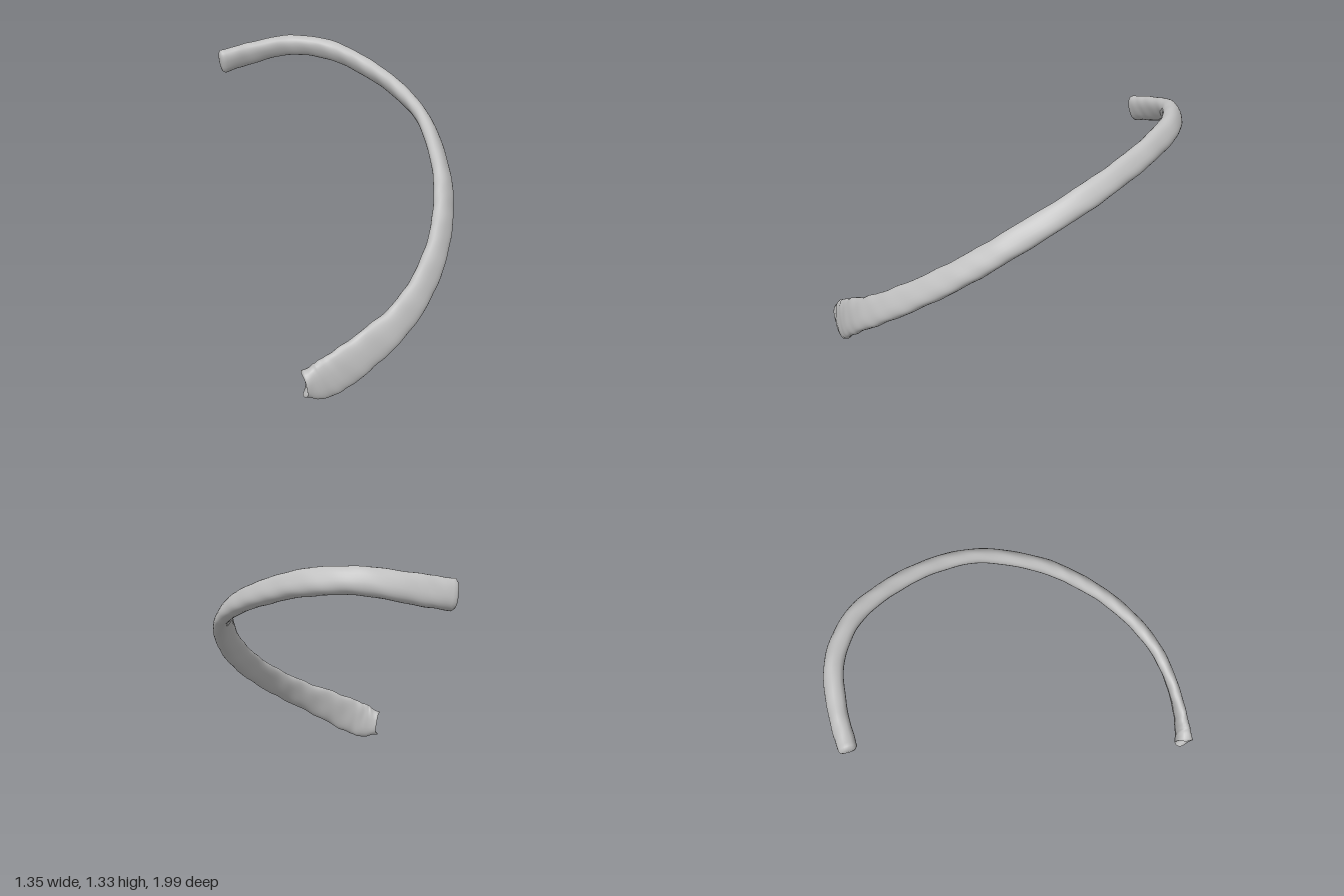
import * as THREE from 'three';

// Stations from the back (upper) end to the front (lower) end:
// centre x, y, z, width of the blade, thickness, inward lean in degrees
const STATIONS = [
  [-0.655, 1.215, -0.82, 0.15, 0.09, 15],
  [-0.50, 1.245, -0.885, 0.145, 0.09, 20],
  [-0.25, 1.285, -0.94, 0.13, 0.095, 25],
  [0.00, 1.267, -0.893, 0.13, 0.095, 28],
  [0.21, 1.205, -0.755, 0.13, 0.09, 32],
  [0.40, 1.12, -0.56, 0.13, 0.085, 34],
  [0.54, 1.01, -0.33, 0.135, 0.08, 35],
  [0.61, 0.825, 0.00, 0.14, 0.085, 35],
  [0.602, 0.70, 0.20, 0.145, 0.085, 33],
  [0.555, 0.575, 0.40, 0.15, 0.082, 30],
  [0.455, 0.445, 0.60, 0.16, 0.08, 26],
  [0.33, 0.34, 0.745, 0.175, 0.075, 20],
  [0.17, 0.243, 0.85, 0.205, 0.07, 12],
  [0.03, 0.162, 0.912, 0.225, 0.07, 5],
  [-0.06, 0.122, 0.938, 0.22, 0.08, 0],
  [-0.135, 0.11, 0.95, 0.155, 0.10, -5],
];
const RINGS = 150;
const SIDES = 28;

function createRibGeometry() {
  const path = new THREE.CatmullRomCurve3(STATIONS.map((s) => new THREE.Vector3(s[0], s[1], s[2])));
  const up = new THREE.Vector3(0, 1, 0);
  const positions = [];
  const index = [];

  // Smoothly interpolate one station column
  const sample = (u, col) => {
    const f = u * (STATIONS.length - 1);
    const i = Math.min(Math.floor(f), STATIONS.length - 2);
    return THREE.MathUtils.lerp(STATIONS[i][col], STATIONS[i + 1][col], THREE.MathUtils.smoothstep(f - i, 0, 1));
  };

  // One rounded, flattened cross-section, optionally shrunk and shifted along the path
  const addRing = (u, scale, shift) => {
    const t = path.getTangent(u);
    const centre = path.getPoint(u).addScaledVector(t, shift);
    const b0 = up.clone().addScaledVector(t, -up.dot(t)).normalize();
    const n0 = new THREE.Vector3().crossVectors(b0, t);
    const a = THREE.MathUtils.degToRad(sample(u, 5));
    const b = b0.clone().multiplyScalar(Math.cos(a)).addScaledVector(n0, -Math.sin(a));
    const n = n0.clone().multiplyScalar(Math.cos(a)).addScaledVector(b0, Math.sin(a));
    const w = sample(u, 3) * scale / 2;
    const h = sample(u, 4) * scale / 2;
    for (let j = 0; j < SIDES; j++) {
      const q = (j / SIDES) * Math.PI * 2;
      const c = Math.cos(q), s = Math.sin(q);
      // gentle bone unevenness
      const k = 1 + 0.018 * Math.sin(u * 95 + 2 * q) + 0.012 * Math.sin(u * 173 - 3 * q);
      const p = centre.clone()
        .addScaledVector(n, Math.sign(c) * Math.abs(c) ** 0.85 * h * k)
        .addScaledVector(b, Math.sign(s) * Math.abs(s) ** 0.85 * w * k);
      // pointed lower lip and small upper lip on the front end
      if (u > 0.985 && scale > 0.9) {
        const end = (u - 0.985) / 0.015;
        p.x -= end * (0.025 * Math.max(0, -s) ** 4 + 0.012 * Math.max(0, s) ** 4);
      }
      positions.push(p.x, p.y, p.z);
    }
  };

  // Rounded back end, shaft, hollowed front end
  addRing(0, 0.45, -0.016);
  addRing(0, 0.82, -0.012);
  for (let i = 0; i <= RINGS; i++) addRing(i / RINGS, 1, 0);
  addRing(1, 0.85, 0);
  addRing(1, 0.45, -0.012);

  const count = positions.length / 3 / SIDES;
  for (let i = 0; i < count - 1; i++) {
    for (let j = 0; j < SIDES; j++) {
      const k = (j + 1) % SIDES;
      const a = i * SIDES + j, b = i * SIDES + k;
      index.push(a, b, b + SIDES, a, b + SIDES, a + SIDES);
    }
  }

  // Close both ends with a fan
  const first = path.getPoint(0).addScaledVector(path.getTangent(0), -0.017);
  const last = path.getPoint(1).addScaledVector(path.getTangent(1), -0.016);
  const centreIndex = positions.length / 3;
  positions.push(...first.toArray(), ...last.toArray());
  const lastRing = (count - 1) * SIDES;
  for (let j = 0; j < SIDES; j++) {
    const k = (j + 1) % SIDES;
    index.push(centreIndex, k, j, centreIndex + 1, lastRing + j, lastRing + k);
  }

  const geometry = new THREE.BufferGeometry();
  geometry.setAttribute('position', new THREE.Float32BufferAttribute(positions, 3));
  geometry.setIndex(index);
  geometry.computeVertexNormals();
  return geometry;
}

export function createModel() {
  const group = new THREE.Group();
  group.name = 'rib';
  const bone = new THREE.MeshStandardMaterial({ color: 0xc0c0c0 });
  bone.name = 'bone grey';
  const shaft = new THREE.Mesh(createRibGeometry(), bone);
  shaft.name = 'ribBone';
  group.add(shaft);
  return group;
}
